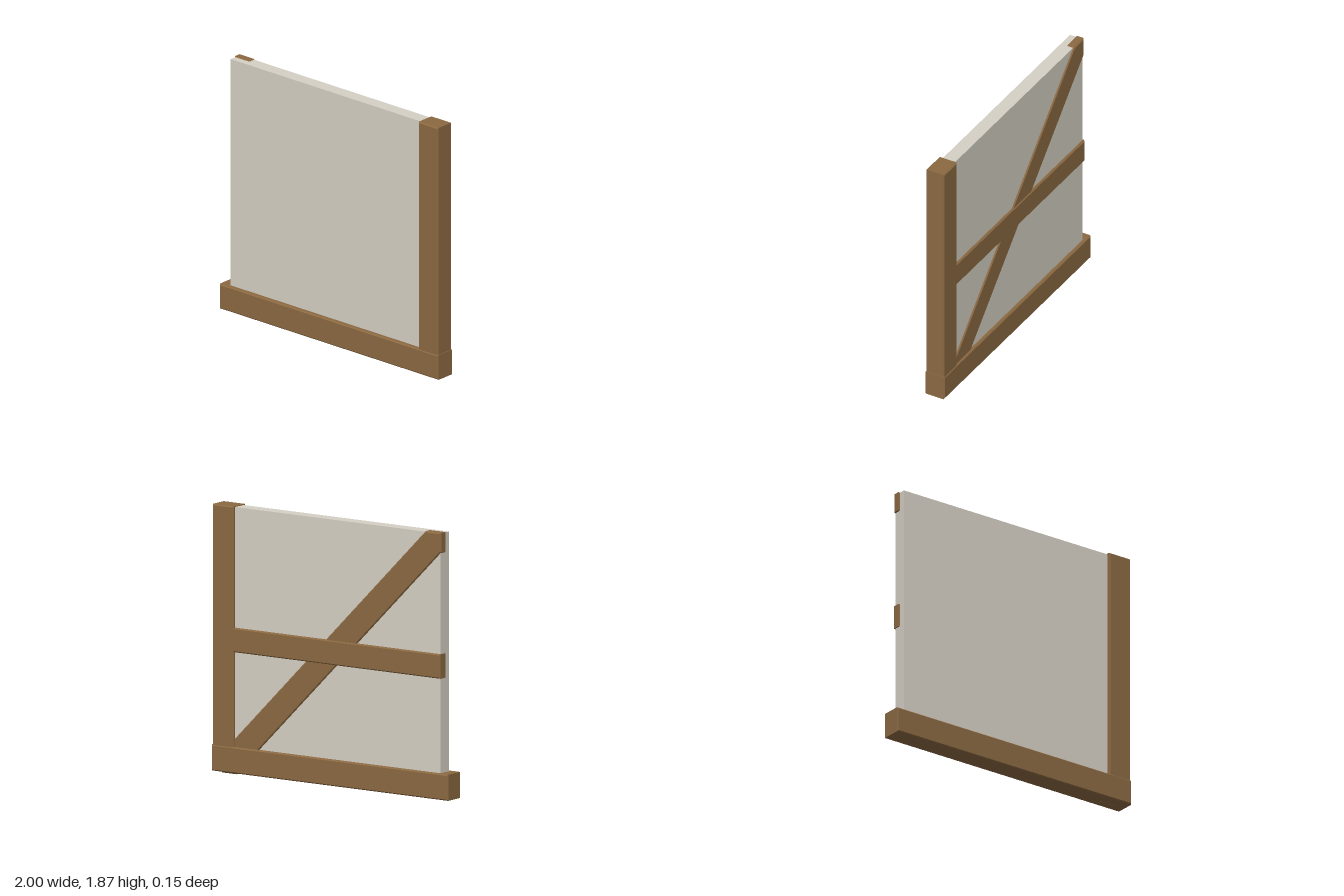
import * as THREE from 'three';

const wood = new THREE.MeshStandardMaterial({ color: 0x8b6942, flatShading: true });
const plaster = new THREE.MeshStandardMaterial({ color: 0xd6d1c5, flatShading: true });
const BEVEL = 0.008;

// Timber with chamfered edges: outline in the xy plane, spanning z0 to z1
function timber(name, outline, z0, z1) {
  const shape = new THREE.Shape(outline.map(([x, y]) => new THREE.Vector2(x, y)));
  const geometry = new THREE.ExtrudeGeometry(shape, {
    depth: z1 - z0 - 2 * BEVEL,
    bevelThickness: BEVEL,
    bevelSize: BEVEL,
    bevelOffset: -BEVEL,
    bevelSegments: 1,
  });
  geometry.translate(0, 0, z0 + BEVEL);
  const mesh = new THREE.Mesh(geometry, wood);
  mesh.name = name;
  return mesh;
}

const rect = (x0, x1, y0, y1) => [[x0, y0], [x1, y0], [x1, y1], [x0, y1]];

export function createModel() {
  const group = new THREE.Group();
  group.name = 'timberWallSection';

  // Main frame: sill along the bottom, post on the left
  group.add(timber('sillBeam', rect(-1, 1, 0.008, 0.19), -0.077, 0.077));
  group.add(timber('cornerPost', rect(0.815, 0.995, 0.1, 1.865), -0.072, 0.072));

  // Horizontal rail across the back
  group.add(timber('middleRail', rect(-0.93, 0.85, 0.85, 1.02), -0.07, 0));

  // Diagonal brace with both ends cut square to the frame
  group.add(timber('diagonalBrace', [
    [-0.93, 1.73], [0.8, 0], [0.925, 0], [0.925, 0.135], [-0.8, 1.865], [-0.93, 1.865],
  ], -0.063, 0));

  // Infill panel
  const panel = new THREE.Mesh(new THREE.BoxGeometry(1.765, 1.71, 0.098), plaster);
  panel.name = 'infillPanel';
  panel.position.set(-0.0405, 1.005, -0.004);
  group.add(panel);

  return group;
}
